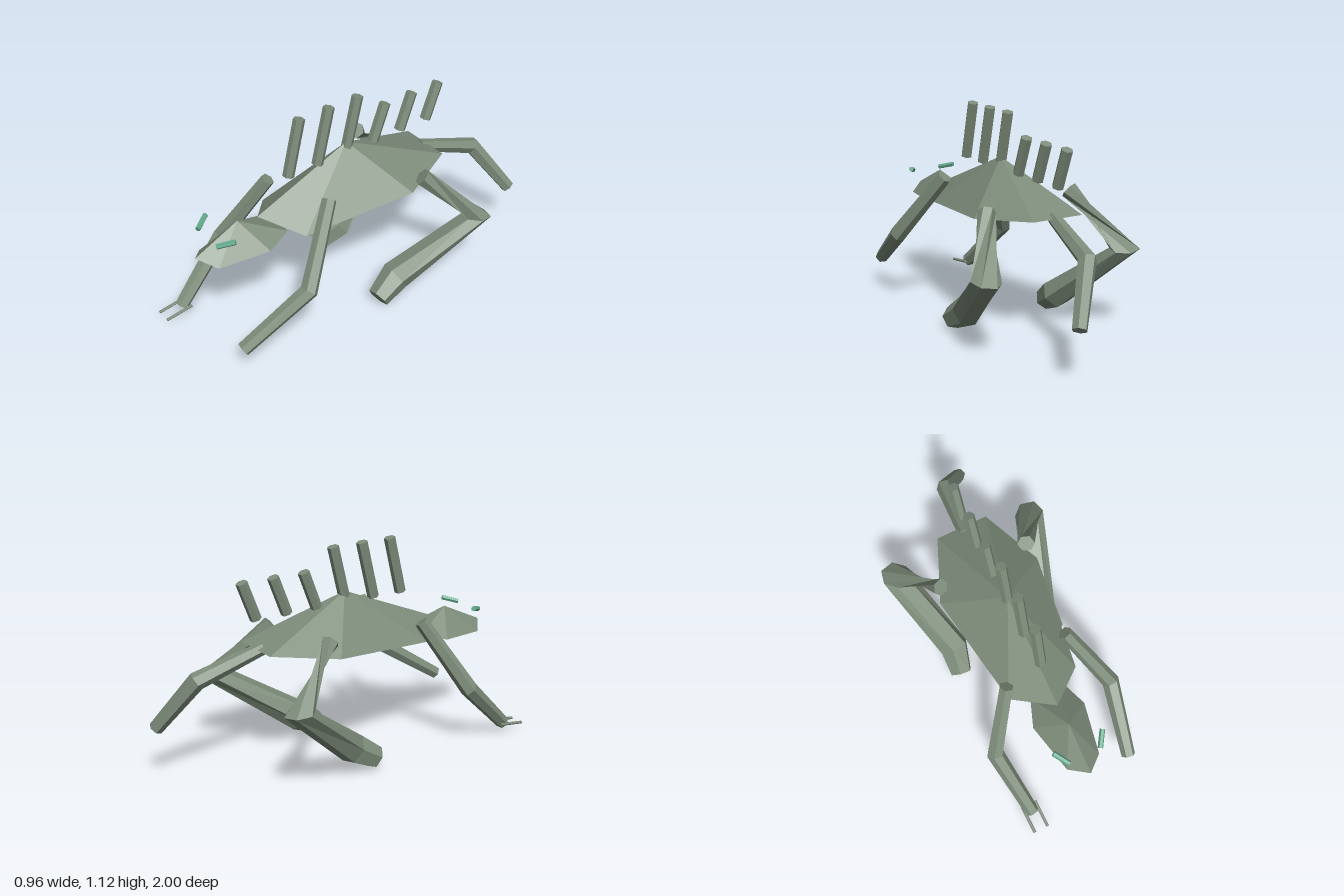
import * as THREE from 'three';

const hide = new THREE.MeshStandardMaterial({ name: 'grey green hide', color: 0x7d8c7a, flatShading: true });
const jade = new THREE.MeshStandardMaterial({ name: 'jade', color: 0x62a88c, flatShading: true });

function meshFrom(name, positions, indices, material) {
  const g = new THREE.BufferGeometry();
  g.setAttribute('position', new THREE.Float32BufferAttribute(positions, 3));
  g.setIndex(indices);
  const flat = g.toNonIndexed();
  flat.computeVertexNormals();
  const mesh = new THREE.Mesh(flat, material);
  mesh.name = name;
  return mesh;
}

// Capped six-sided limb through stations [x, y, z, radius, twist]; mitred at bends
function limb(name, stations, material = hide, sides = 6) {
  const pts = stations.map(s => new THREE.Vector3(s[0], s[1], s[2]));
  const pos = [], idx = [], last = pts.length - 1;
  const u = new THREE.Vector3(1, 0, 0), v = new THREE.Vector3();
  pts.forEach((p, i) => {
    const t = new THREE.Vector3();
    if (i > 0) t.add(p.clone().sub(pts[i - 1]).normalize());
    if (i < last) t.add(pts[i + 1].clone().sub(p).normalize());
    t.normalize();
    u.addScaledVector(t, -u.dot(t)).normalize();
    v.crossVectors(t, u);
    for (let j = 0; j < sides; j++) {
      const a = j / sides * Math.PI * 2 + (stations[i][4] || 0), r = stations[i][3];
      const q = p.clone().addScaledVector(u, Math.cos(a) * r).addScaledVector(v, Math.sin(a) * r);
      pos.push(q.x, q.y, q.z);
    }
  });
  for (let i = 0; i < last; i++) for (let j = 0; j < sides; j++) {
    const k = (j + 1) % sides, a = i * sides, b = a + sides;
    idx.push(a + j, a + k, b + j, a + k, b + k, b + j);
  }
  for (let j = 1; j < sides - 1; j++) {
    const e = last * sides;
    idx.push(0, j + 1, j, e, e + j, e + j + 1);
  }
  return meshFrom(name, pos, idx, material);
}

// Peaked shell: mirrored rim (nose first, then the left side) fanned to a peak and a belly point
function shell(name, nose, side, peak, belly) {
  const rim = [nose, ...side, ...side.slice().reverse().map(([x, y, z]) => [-x, y, z])];
  const n = rim.length, idx = [];
  for (let i = 0; i < n; i++) {
    const k = (i + 1) % n;
    idx.push(n, i, k, n + 1, k, i);
  }
  return meshFrom(name, [...rim, peak, belly].flat(), idx, hide);
}

export function createModel() {
  const model = new THREE.Group();
  model.name = 'spinyCreature';

  model.add(shell('body', [0, 0.66, 0.575],
    [[0.19, 0.583, 0.42], [0.28, 0.633, -0.18], [0.14, 0.668, -0.5]],
    [0, 0.88, 0.03], [0, 0.63, 0]));
  model.add(shell('head', [0, 0.575, 0.935],
    [[0.09, 0.535, 0.86], [0.145, 0.55, 0.6], [0.09, 0.575, 0.46]],
    [0, 0.688, 0.69], [0, 0.55, 0.7]));

  // Back spines: three tall, three short
  for (let i = 0; i < 6; i++) {
    const z = 0.385 - i * 0.1755, top = i < 3 ? 1.12 : 1.015;
    model.add(limb('backSpine', [[0, 0.82, z, 0.03], [0, top, z - 0.075, 0.03]]));
  }

  model.add(limb('tail', [
    [0, 0.665, -0.46, 0.034], [0.045, 0.55, -0.805, 0.047], [0.195, 0.287, -0.965, 0.037]]));

  // Front legs, caught mid-stride
  model.add(limb('leftFrontLeg', [
    [0.192, 0.745, 0.28, 0.037], [0.352, 0.4, 0.525, 0.046], [0.29, 0.172, 0.877, 0.037]]));
  model.add(limb('rightFrontLeg', [
    [-0.187, 0.7, 0.385, 0.037], [-0.352, 0.335, 0.585, 0.046], [-0.29, 0.052, 0.893, 0.037]]));
  for (const x of [-0.328, -0.252])
    model.add(limb('claw', [[x, 0.06, 0.85, 0.008], [x, 0.04, 1.0, 0.008]]));

  // Hind legs with a twisted thigh, thick shin and blunt foot
  model.add(limb('leftHindLeg', [
    [0.255, 0.685, -0.26, 0.046, -1.9], [0.41, 0.42, -0.515, 0.078],
    [0.27, 0.13, -0.09, 0.082], [0.287, 0.055, 0.04, 0.06]]));
  model.add(limb('rightHindLeg', [
    [-0.25, 0.725, -0.225, 0.046, 1.9], [-0.405, 0.46, -0.5, 0.078],
    [-0.265, 0.135, -0.1, 0.082], [-0.287, 0.062, 0.03, 0.06]]));

  // Eye stalks beside the head
  for (const s of [-1, 1])
    model.add(limb('eye', [[s * 0.085, 0.665, 0.86, 0.014], [s * 0.135, 0.688, 0.785, 0.014]], jade));

  return model;
}
